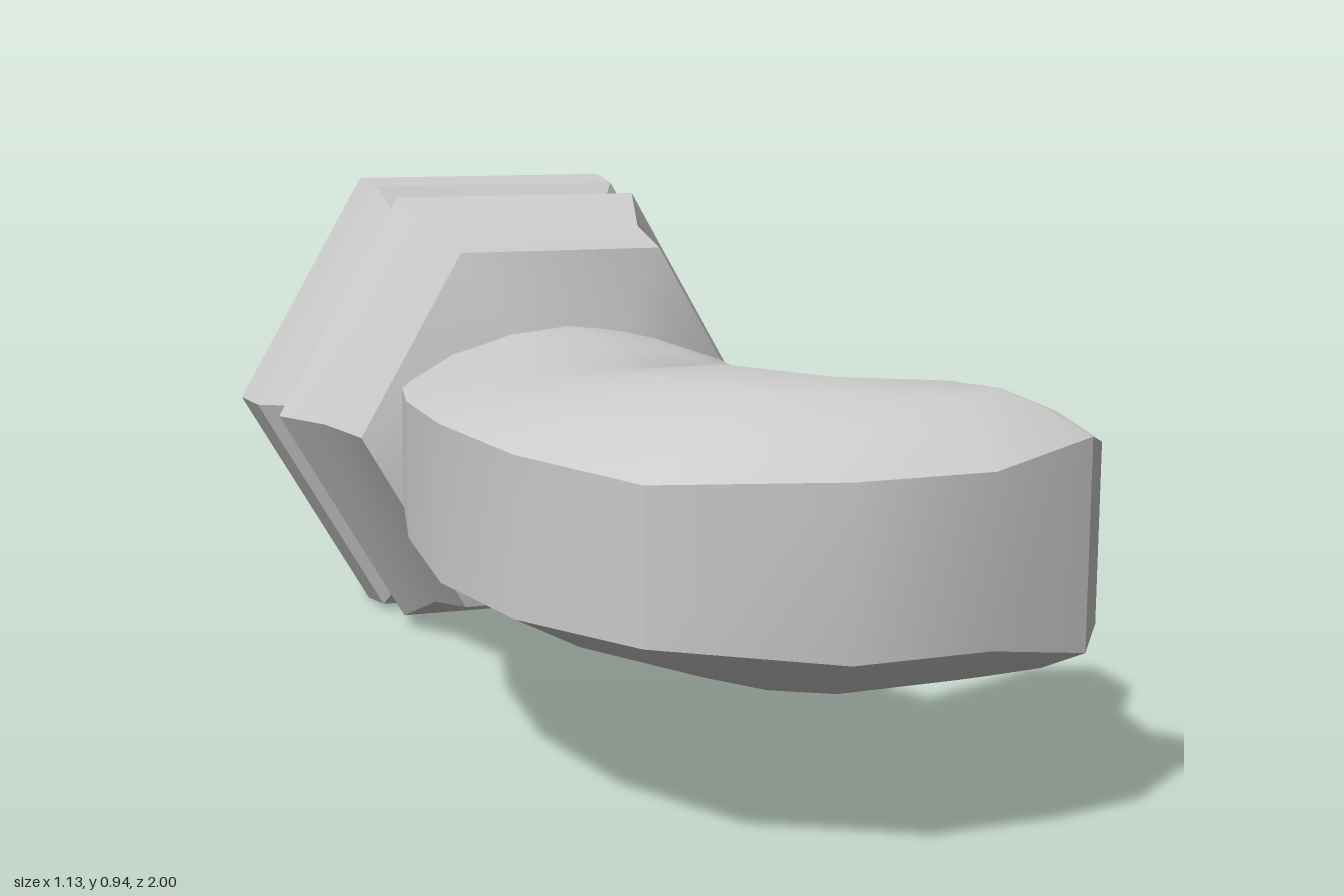
import * as THREE from 'three';
import { toCreasedNormals } from 'three/addons/utils/BufferGeometryUtils.js';

const MID_Y = 0.473;
const material = () => new THREE.MeshStandardMaterial({ color: 0xcccccc });

// Hexagonal stepped pedestal with a recessed underside, lying along z
function createPedestal() {
  const profile = [ // circumradius, z
    [0, -0.94], [0.3, -0.94], [0.355, -1], [0.545, -1], [0.53, -0.88],
    [0.42, -0.815], [0.388, -0.77], [0.49, -0.765], [0.5, -0.745], [0.514, -0.71],
    [0.445, -0.57], [0.41, -0.385], [0.237, -0.335], [0, -0.3],
  ].map(([r, z]) => new THREE.Vector2(r, z));
  const geometry = new THREE.LatheGeometry(profile, 6);
  geometry.rotateY(Math.PI / 2).rotateX(Math.PI / 2);
  const mesh = new THREE.Mesh(toCreasedNormals(geometry, 0.35), material());
  mesh.position.set(-0.022, MID_Y, 0);
  mesh.name = 'hexagonalPedestal';
  return mesh;
}

// Curved neck and hooked head: an upright wall round the outline, domed above and below
function createHead() {
  const spine = [ // x, z, half height
    [-0.03, -0.45, 0.21], [-0.02, -0.2, 0.21], [-0.05, 0.02, 0.21], [-0.12, 0.33, 0.215],
    [-0.03, 0.53, 0.245], [0.08, 0.72, 0.245], [0.26, 0.75, 0.235], [0.36, 0.53, 0.165],
    [0.46, 0.42, 0.125],
  ];
  const outline = [ // x, z, half height of wall, spine point it rises to
    [-0.31, -0.45, 0.11, 0], [-0.335, -0.37, 0.11, 0], [-0.38, -0.25, 0.115, 1],
    [-0.425, -0.02, 0.125, 2], [-0.445, 0.3, 0.135, 3], [-0.4, 0.6, 0.13, 4],
    [-0.28, 0.86, 0.122, 5], [-0.01, 1, 0.135, 5], [0.22, 0.99, 0.135, 6],
    [0.41, 0.935, 0.168, 6], [0.47, 0.86, 0.145, 6], [0.39, 0.81, 0.18, 6],
    [0.45, 0.64, 0.125, 7], [0.555, 0.5, 0.12, 8], [0.56, 0.36, 0.12, 8],
    [0.45, 0.305, 0.11, 8], [0.33, 0.365, 0.115, 7], [0.14, 0.45, 0.14, 6],
    [0.14, 0.45, 0.14, 5], [0.14, 0.45, 0.14, 4], [0.11, 0.345, 0.12, 3],
    [0.27, 0.1, 0.09, 2], [0.335, -0.03, 0.085, 2], [0.36, -0.21, 0.085, 1],
    [0.275, -0.37, 0.085, 0], [0.25, -0.45, 0.085, 0],
  ];
  const levels = [0, 0.3, 0.65, 1];
  const positions = [], indices = [];
  const n = levels.length, row = 2 * n;

  // Each section runs from the spine below, out to the wall, and back to the spine above
  for (const [x, z, edge, s] of outline) {
    const [sx, sz, crown] = spine[s];
    for (const side of [-1, 1]) {
      for (let k = 0; k < n; k++) {
        const t = side < 0 ? levels[n - 1 - k] : levels[k];
        const h = edge + (crown - edge) * (1 - (1 - t) ** 2);
        positions.push(x + (sx - x) * t, MID_Y + side * h, z + (sz - z) * t);
      }
    }
  }
  for (let i = 0; i < outline.length; i++) {
    const a = i * row, b = ((i + 1) % outline.length) * row;
    for (let k = 0; k < row - 1; k++) {
      indices.push(a + k, b + k, b + k + 1, a + k, b + k + 1, a + k + 1);
    }
  }
  const geometry = new THREE.BufferGeometry();
  geometry.setAttribute('position', new THREE.Float32BufferAttribute(positions, 3));
  geometry.setIndex(indices);
  const mesh = new THREE.Mesh(toCreasedNormals(geometry, 0.6), material());
  mesh.name = 'hookedHead';
  return mesh;
}

export function createModel() {
  const model = new THREE.Group();
  model.name = 'hexagonalGamePiece';
  model.add(createPedestal(), createHead());
  return model;
}
